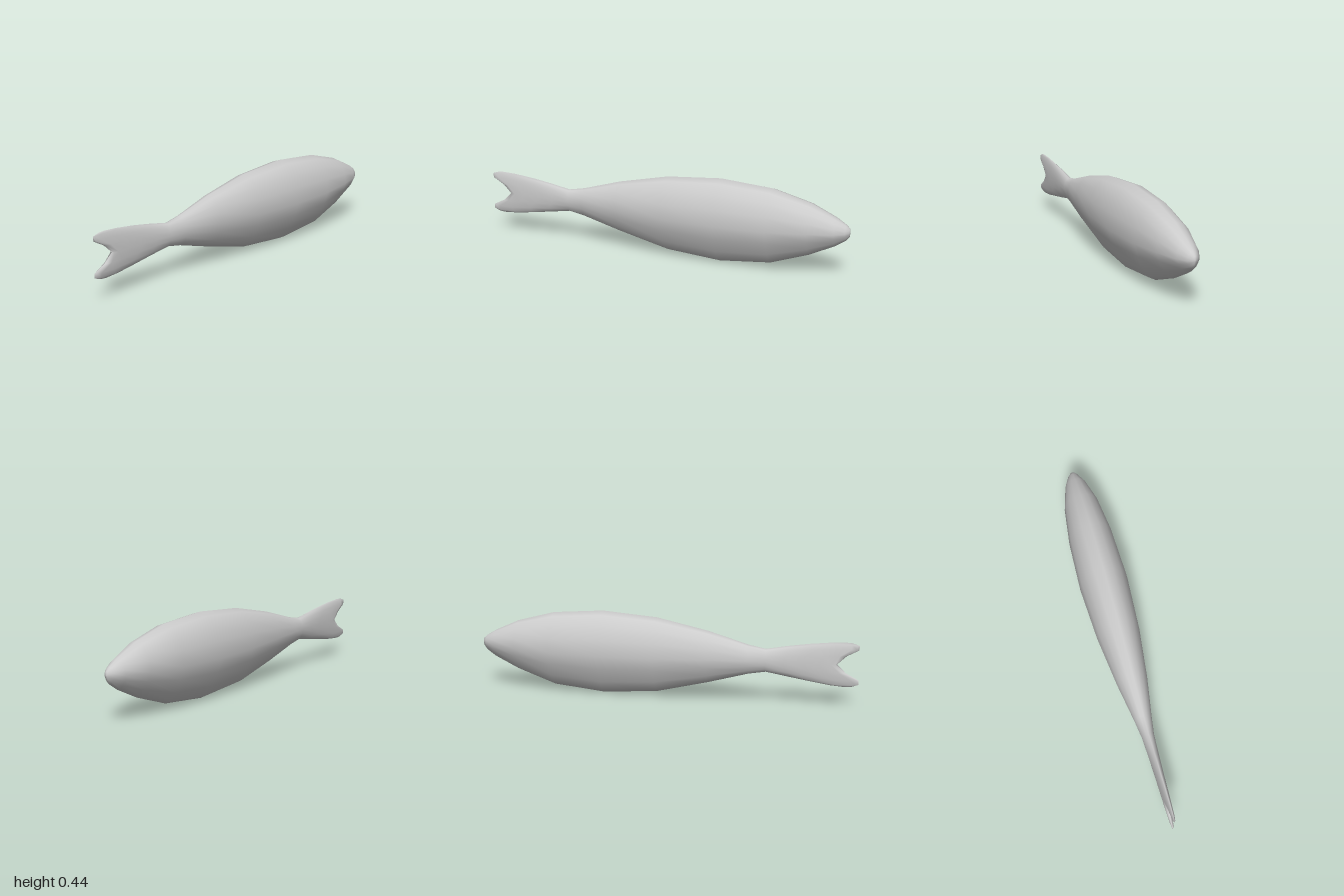
import * as THREE from 'three';

const SIDES = 16;

// piecewise-linear lookup in rows of [key, ...values]
function sample(rows, key, col) {
  for (let i = 1; i < rows.length; i++) {
    const a = rows[i - 1], b = rows[i];
    if (key <= b[0] || i === rows.length - 1) {
      const t = THREE.MathUtils.clamp((key - a[0]) / (b[0] - a[0]), 0, 1);
      return a[col] + (b[col] - a[col]) * t;
    }
  }
}

// body stations, nose to tail root: z, bottom, top, half width
const BODY = [
  [-1, 0.24, 0.24, 0],
  [-0.998, 0.22, 0.262, 0.013],
  [-0.98, 0.197, 0.278, 0.03],
  [-0.93, 0.163, 0.308, 0.057],
  [-0.8, 0.1, 0.367, 0.094],
  [-0.6, 0.03, 0.42, 0.119],
  [-0.33, 0.003, 0.441, 0.129],
  [-0.04, 0.025, 0.419, 0.113],
  [0.23, 0.09, 0.362, 0.08],
  [0.44, 0.148, 0.301, 0.045],
  [0.53, 0.164, 0.284, 0.032],
];

// tail outline by z: bottom, top, half width
const TAIL = [
  [0.53, 0.164, 0.284, 0.032],
  [0.7, 0.136, 0.316, 0.023],
  [0.88, 0.11, 0.336, 0.017],
  [0.94, 0.108, 0.338, 0.014],
  [1, 0.116, 0.332, 0.011],
];

// z where the forked tail ends, by distance from its midline (0 to 1)
const FORK = [[0, 0.89], [0.38, 0.935], [0.71, 0.998], [0.93, 1], [1, 0.965]];

// one cross-section point; pinch narrows the belly
function sectionPoint(bottom, top, width, z, angle, pinch) {
  const c = Math.cos(angle);
  const low = Math.max(0, -c) * pinch;
  const v = c < 0 ? -Math.pow(-c, 1 + 0.15 * pinch) : c;
  return [
    width * Math.sin(angle) * (1 - 0.25 * low),
    (top + bottom) / 2 + v * (top - bottom) / 2,
    z,
  ];
}

function fishGeometry() {
  const rings = [];
  const angles = Array.from({ length: SIDES }, (_, j) => (j / SIDES) * Math.PI * 2);

  // body rings
  for (const [z, bottom, top, width] of BODY) {
    const pinch = THREE.MathUtils.clamp((0.53 - z) / 0.4, 0, 1);
    rings.push(angles.map((a) => sectionPoint(bottom, top, width, z, a, pinch)));
  }

  // tail rings bend towards the fork; the last one closes to a thin edge
  for (const [t, thick] of [[0.25, 1], [0.5, 1], [0.75, 1], [0.92, 1], [0.98, 0.75], [1, 0]]) {
    rings.push(angles.map((a) => {
      const end = sample(FORK, Math.abs(Math.cos(a)), 1);
      const z = 0.53 + (end - 0.53) * t;
      return sectionPoint(sample(TAIL, z, 1), sample(TAIL, z, 2), sample(TAIL, z, 3) * thick, z, a, 0);
    }));
  }

  // skin between neighbouring rings
  const index = [];
  for (let i = 0; i < rings.length - 1; i++) {
    for (let j = 0; j < SIDES; j++) {
      const k = (j + 1) % SIDES;
      const a = i * SIDES + j, b = i * SIDES + k, c = a + SIDES, d = b + SIDES;
      index.push(a, c, b, b, c, d);
    }
  }
  const geometry = new THREE.BufferGeometry();
  geometry.setAttribute('position', new THREE.Float32BufferAttribute(rings.flat(2), 3));
  geometry.setIndex(index);
  geometry.computeVertexNormals();
  return geometry;
}

export function createModel() {
  const group = new THREE.Group();
  group.name = 'fish';
  const body = new THREE.Mesh(
    fishGeometry(),
    new THREE.MeshStandardMaterial({ color: 0xcccccc }),
  );
  body.name = 'bodyAndTail';
  group.add(body);
  return group;
}
